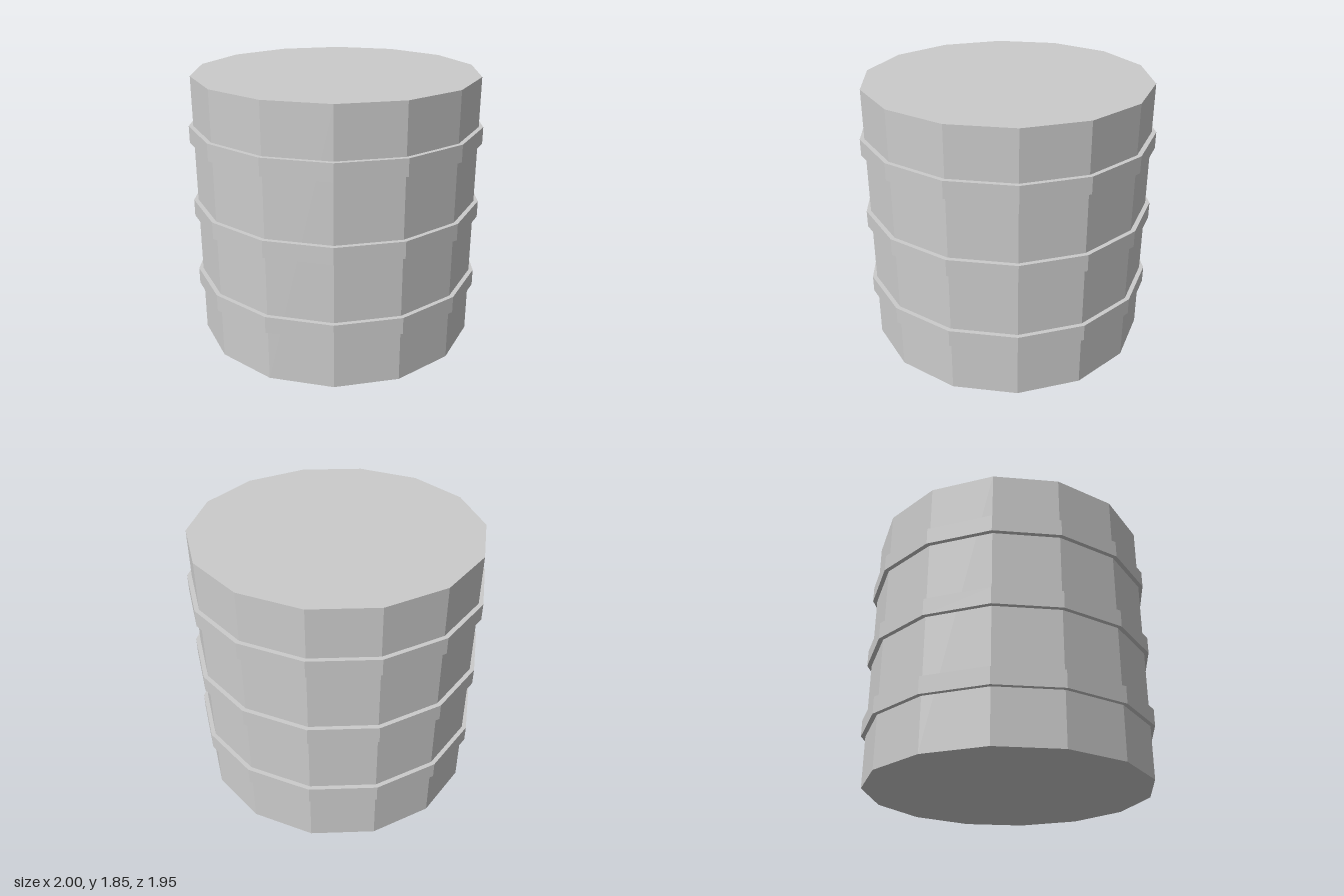
import * as THREE from 'three';

const SIDES = 14;

export function createModel() {
  const group = new THREE.Group();
  const material = new THREE.MeshStandardMaterial({ color: 0xcccccc, flatShading: true });

  // Faceted drum with a corner pointing along +x
  const addDrum = (name, radius, height, y) => {
    const geometry = new THREE.CylinderGeometry(radius, radius, height, SIDES, 1, false, Math.PI / 2);
    const mesh = new THREE.Mesh(geometry, material);
    mesh.name = name;
    mesh.position.y = y;
    group.add(mesh);
  };

  // Barrel body
  addDrum('body', 0.97, 1.848, 0.924);

  // Three raised hoops
  ['lowerHoop', 'middleHoop', 'upperHoop'].forEach((name, i) => {
    addDrum(name, 1, 0.114, 0.412 + i * 0.5235);
  });

  return group;
}
